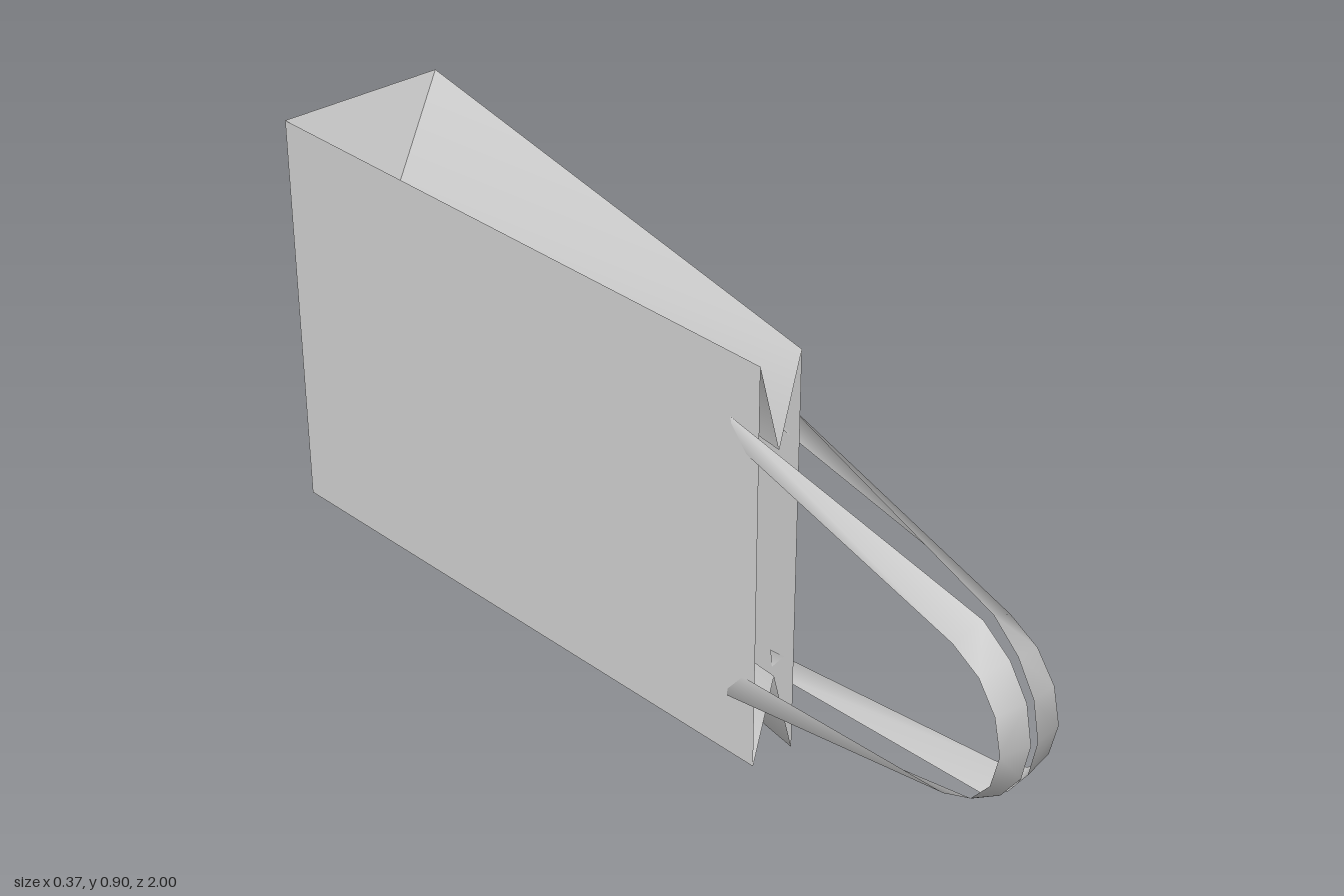
import * as THREE from 'three';

const H = 0.897;             // width of the bag, lying on its side
const BACK = -1, MOUTH = 0.32;
const WB = 0.184, WM = 0.048; // half thickness at base and mouth

const material = new THREE.MeshStandardMaterial({ color: 0xcccccc, side: THREE.DoubleSide });

// Indexed surface, optionally mirrored in x and/or y (winding kept outward)
function surface(name, points, faces, mx = 1, my = 1) {
  const pos = points.flatMap(([x, y, z]) => [x * mx, my > 0 ? y : H - y, z]);
  const index = faces.flatMap(([a, b, c]) => (mx * my > 0 ? [a, b, c] : [a, c, b]));
  const geometry = new THREE.BufferGeometry();
  geometry.setAttribute('position', new THREE.Float32BufferAttribute(pos, 3));
  geometry.setIndex(index);
  geometry.computeVertexNormals();
  const mesh = new THREE.Mesh(geometry, material);
  mesh.name = name;
  return mesh;
}

// Strap cross-sections from the panel to the tip: [inner edge, outer edge]
const halfStrap = [
  [[0.057, 0.763, 0.25], [0.05, 0.705, 0.25]],
  [[0.012, 0.643, 0.871], [0.068, 0.611, 0.857]],
  [[0.009, 0.595, 0.938], [0.069, 0.579, 0.925]],
  [[0.008, 0.53, 0.983], [0.07, 0.523, 0.97]],
  [[0.008, H / 2, 1.0], [0.07, H / 2, 0.988]],
];

function handle(name, mx) {
  const lower = halfStrap.slice(0, -1).reverse()
    .map(row => row.map(([x, y, z]) => [x, H - y, z]));
  const rows = [...halfStrap, ...lower];
  const faces = [];
  for (let i = 0; i < rows.length - 1; i++) {
    const a = 2 * i, b = a + 1, c = a + 2, d = a + 3;
    // the twist diagonal is mirrored past the tip
    if (i < halfStrap.length - 1) faces.push([a, b, d], [a, d, c]);
    else faces.push([a, b, c], [b, d, c]);
  }
  return surface(name, rows.flat(), faces, mx);
}

export function createModel() {
  const group = new THREE.Group();
  group.name = 'paperBag';
  const quad = [[0, 1, 2], [0, 2, 3]];

  // Base of the bag
  group.add(surface('base',
    [[WB, 0, BACK], [-WB, 0, BACK], [-WB, H, BACK], [WB, H, BACK]], quad));

  for (const mx of [1, -1]) {
    const side = mx > 0 ? 'left' : 'right';
    // Large flat panel and its handle
    group.add(surface(side + 'Panel',
      [[WM, 0, MOUTH], [WB, 0, BACK], [WB, H, BACK], [WM, H, MOUTH]], quad, mx));
    group.add(handle(side + 'Handle', mx));
  }

  // Folded-in gussets along both narrow sides
  const apex = [0, H - 0.16, -0.88];
  const crease = [0, H - 0.194, MOUTH];
  for (const my of [1, -1]) {
    const end = my > 0 ? 'upper' : 'lower';
    group.add(surface(end + 'GussetFold',
      [[WB, H, BACK], [-WB, H, BACK], apex], [[0, 1, 2]], 1, my));
    for (const mx of [1, -1]) {
      group.add(surface(end + (mx > 0 ? 'Left' : 'Right') + 'Gusset',
        [[WM, H, MOUTH], [WB, H, BACK], apex, crease], quad, mx, my));
    }
  }
  return group;
}
